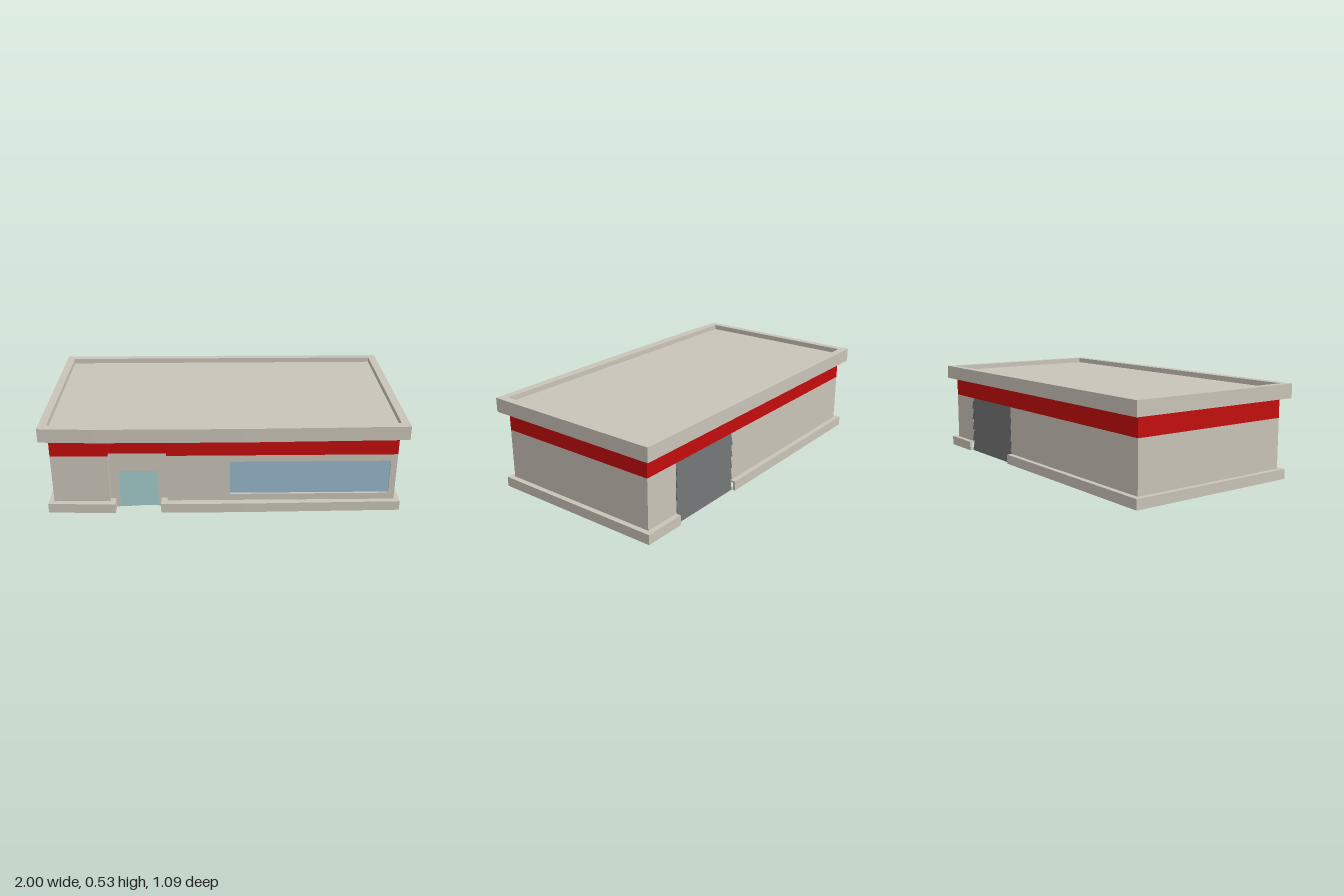
import * as THREE from 'three';

const mat = (name, color, side = THREE.FrontSide) => {
  const m = new THREE.MeshStandardMaterial({ color, side });
  m.name = name;
  return m;
};

export function createModel() {
  const group = new THREE.Group();
  const beige = mat('beige render', 0xc9c4b8, THREE.DoubleSide);
  const red = mat('red band', 0xc40c0c, THREE.DoubleSide);
  const glass = mat('blue window glass', 0x96b8cb);
  const doorGlass = mat('teal door glass', 0xa2cdca);
  const grey = mat('grey shutter', 0x6f7072, THREE.DoubleSide);

  const add = (name, geometry, material) => {
    const mesh = new THREE.Mesh(geometry, material);
    mesh.name = name;
    group.add(mesh);
    return mesh;
  };
  const toPath = (pts, Type) => new Type(pts.map(([x, y]) => new THREE.Vector2(x, y)));

  // Extrudes a floor plan of [x, z] points from y0 to y1
  const slab = (name, plan, y0, y1, hole) => {
    const flip = (pts) => pts.map(([x, z]) => [x, -z]);
    const shape = toPath(flip(plan), THREE.Shape);
    if (hole) shape.holes.push(toPath(flip(hole), THREE.Path));
    const g = new THREE.ExtrudeGeometry(shape, { depth: y1 - y0, bevelEnabled: false });
    g.rotateX(-Math.PI / 2).translate(0, y0, 0);
    return add(name, g, beige);
  };

  // Upright panel from a to b, its outer face on the line and its thickness inside
  const THICK = 0.015;
  const wall = (name, a, b, y0, y1, material, hole) => {
    const dx = b[0] - a[0], dz = b[1] - a[1], len = Math.hypot(dx, dz);
    const shape = toPath([[0, y0], [len, y0], [len, y1], [0, y1]], THREE.Shape);
    if (hole) {
      const [l, r, bottom, top] = hole;
      shape.holes.push(toPath([[l, bottom], [l, top], [r, top], [r, bottom]], THREE.Path));
    }
    const g = new THREE.ExtrudeGeometry(shape, { depth: THICK, bevelEnabled: false });
    g.translate(0, 0, -THICK).rotateY(Math.atan2(-dz, dx)).translate(a[0], 0, a[1]);
    return add(name, g, material);
  };
  const box = (name, x0, x1, y0, y1, z0, z1, material) =>
    add(name, new THREE.BoxGeometry(x1 - x0, y1 - y0, z1 - z0), material)
      .position.set((x0 + x1) / 2, (y0 + y1) / 2, (z0 + z1) / 2);

  // Main dimensions
  const W = 0.955, F = 0.485, B = -0.5, R = 0.455;
  const BASE = 0.05, BAND = 0.34, TOP = 0.45;
  const G0 = 0.25, G1 = 0.735;

  // Wall line with the entrance recess, counter-clockwise seen from above
  const plan = [[-W, F], [-0.64, F], [-0.64, R], [-0.32, R], [-0.32, F], [W, F], [W, B], [-W, B]];
  plan.forEach((a, i) => {
    const b = plan[(i + 1) % plan.length];
    wall('redBand', a, b, BAND, TOP, red);
    if (i === 2 || i === 6) return; // walls with doors are built below
    const hole = i === 4 ? [0.35, 1.24, 0.095, 0.3] : undefined;
    wall('wall', a, b, BASE, BAND, beige, hole);
  });

  // Entrance wall and sliding doors
  wall('entranceWall', [-0.64, R], [-0.59, R], 0, BAND, beige);
  wall('entranceWall', [-0.37, R], [-0.32, R], 0, BAND, beige);
  wall('entranceLintel', [-0.59, R], [-0.37, R], 0.23, BAND, beige);
  box('doorPanel', -0.59, -0.477, 0, 0.23, 0.441, 0.449, doorGlass);
  box('doorPanel', -0.483, -0.37, 0, 0.23, 0.433, 0.441, doorGlass);
  box('entranceSoffit', -0.64, -0.32, TOP, TOP + 0.008, R - THICK, F, beige);

  // Shop window
  box('windowGlass', 0.03, 0.92, 0.095, 0.3, 0.465, 0.472, glass);

  // Back wall either side of the roller shutter
  wall('backWall', [W, B], [G1, B], BASE, BAND, beige);
  wall('backWall', [G0, B], [-W, B], BASE, BAND, beige);

  // Roller shutter: five slats leaning out at the bottom
  const slats = 5, h = BAND / slats;
  const profile = [[-0.488, 0]];
  for (let i = 0; i < slats; i++) profile.push([-0.508, i * h], [-0.496, (i + 1) * h]);
  profile.push([-0.488, BAND]);
  const shutter = new THREE.ExtrudeGeometry(toPath(profile, THREE.Shape), { depth: G1 - G0, bevelEnabled: false });
  shutter.rotateY(-Math.PI / 2).translate(G1, 0, 0);
  add('rollerShutter', shutter, grey);

  // Hollow plinth: outer skirt plus a lid that meets the wall
  const plinth = (outer, mid, inner) => {
    slab('plinthSkirt', [...outer, ...mid.reverse()], 0, 0.045);
    slab('plinthLid', [...outer, ...inner.reverse()], 0.045, 0.056);
  };
  plinth(
    [[-0.61, R], [-0.61, 0.525], [-0.985, 0.514], [-0.985, -0.53], [G0, -0.53]],
    [[-0.625, R], [-0.625, 0.51], [-0.97, 0.499], [-0.97, -0.515], [G0, -0.515]],
    [[-0.64, R], [-0.64, F], [-W, F], [-W, B], [G0, B]]
  );
  plinth(
    [[G1, -0.53], [0.985, -0.53], [0.985, 0.514], [0.1, 0.526], [-0.355, 0.525], [-0.355, R]],
    [[G1, -0.515], [0.97, -0.515], [0.97, 0.499], [0.1, 0.511], [-0.34, 0.51], [-0.34, R]],
    [[G1, B], [W, B], [W, F], [0.1, F], [-0.32, F], [-0.32, R]]
  );

  // Overhanging parapet with a gently bowed front, and the sunken roof
  slab('parapet',
    [[-1, 0.53], [-0.7, 0.543], [0.1, 0.545], [1, 0.53], [1, -0.545], [-1, -0.545]],
    TOP, 0.53,
    [[-W, F], [-W, B], [W, B], [W, F]]);
  box('roofPanel', -W, W, 0.494, 0.5, B, F, beige);

  return group;
}
